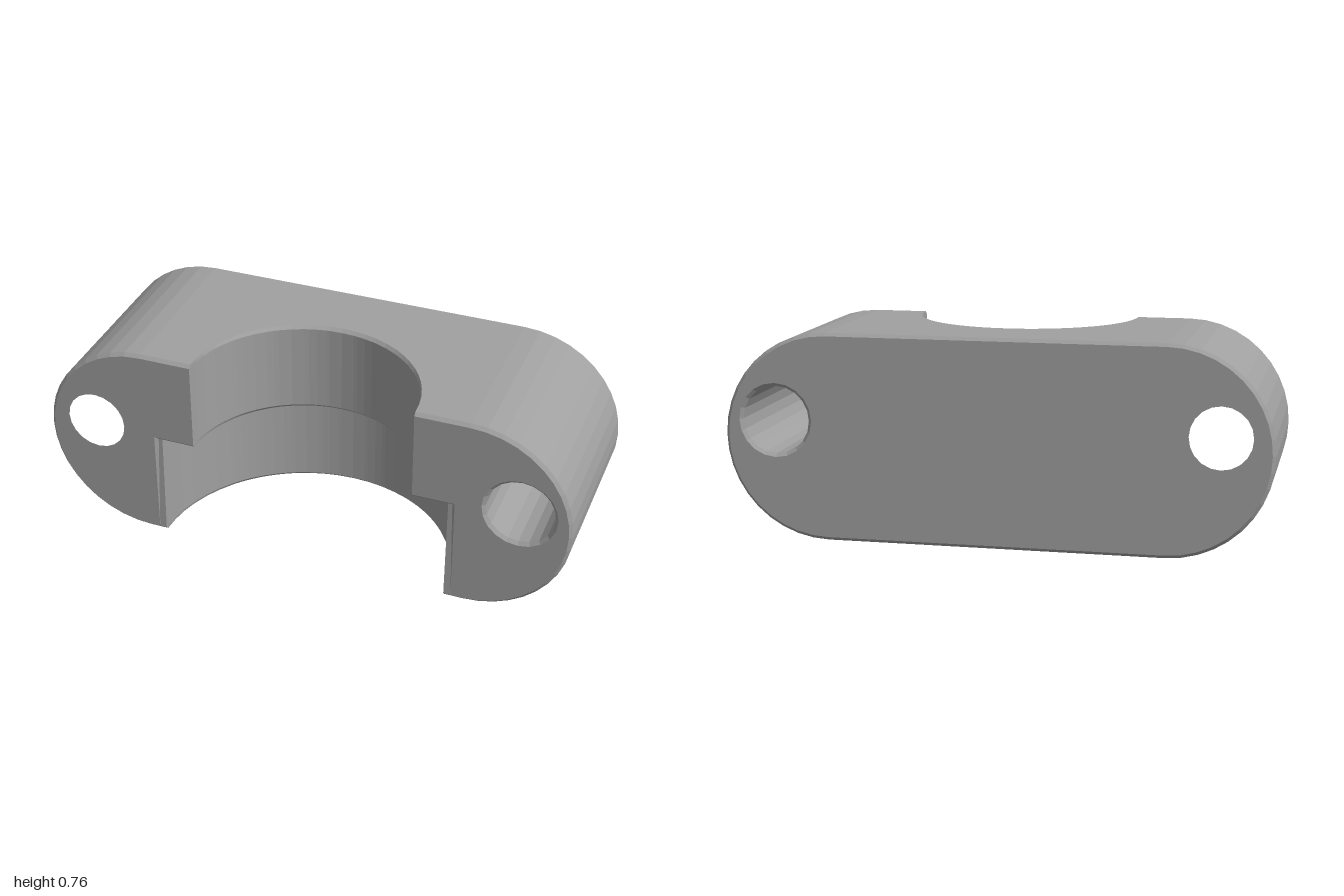
import * as THREE from 'three';

const H = 0.765;        // height
const D = 0.345;        // half depth
const STEP = 0.41;      // height of the ledge between the two bores
const R_UP = 0.42;      // upper bore radius
const R_LOW = 0.55;     // lower bore radius
const SEAM = 0.58;      // where the bored middle meets the rounded ends
const C = 0.012;        // edge chamfer

// Front surface depth at x for a vertical bore of radius r
const frontZ = (x, r) => D - Math.sqrt(Math.max(0, r * r - x * x));

// Middle block: cross-sections in z/y swept along x
function middleGeometry() {
  const xs = [-SEAM, SEAM];
  const n = 28;
  for (const r of [R_UP, R_LOW])
    for (let i = 0; i <= n; i++) xs.push(-r * Math.cos((Math.PI * i) / n));
  xs.sort((a, b) => a - b);
  const stations = xs.filter((x, i) => i === 0 || x - xs[i - 1] > 1e-4);

  const positions = [];
  const index = [];
  const count = 11;
  stations.forEach((x, i) => {
    const up = frontZ(x, R_UP);
    const low = frontZ(x, R_LOW);
    const section = [
      [low - C, 0], [-D + C, 0], [-D, C], [-D, H - C], [-D + C, H],
      [up - C, H], [up, H - C], [up, STEP + C], [up - C, STEP],
      [Math.min(low, up - C), STEP], [low, C],
    ];
    for (const [z, y] of section) positions.push(x, y, z);
    if (i === 0) return;
    for (let j = 0; j < count; j++) {
      const k = (j + 1) % count;
      const a = (i - 1) * count + j;
      const b = (i - 1) * count + k;
      const c = i * count + k;
      const d = i * count + j;
      index.push(a, b, c, a, c, d);
    }
  });
  const indexed = new THREE.BufferGeometry();
  indexed.setAttribute('position', new THREE.Float32BufferAttribute(positions, 3));
  indexed.setIndex(index);
  const geometry = indexed.toNonIndexed();
  geometry.computeVertexNormals();
  return geometry;
}

// Rounded end with a bolt hole running front to back
function endGeometry(side) {
  const r = H / 2;
  const inner = side * (SEAM - 0.015);
  const centre = side * (1 - r);
  const shape = new THREE.Shape();
  shape.moveTo(inner, 0);
  shape.lineTo(centre, 0);
  shape.absarc(centre, r, r, -Math.PI / 2, Math.PI / 2, side < 0);
  shape.lineTo(inner, H);
  shape.closePath();
  const hole = new THREE.Path();
  hole.absarc(side * 0.81, 0.44, 0.125, 0, Math.PI * 2, true);
  shape.holes.push(hole);
  const geometry = new THREE.ExtrudeGeometry(shape, {
    depth: 2 * (D - C), curveSegments: 10,
    bevelEnabled: true, bevelThickness: C, bevelSize: C, bevelOffset: -C, bevelSegments: 1,
  });
  geometry.translate(0, 0, -D + C);
  return geometry;
}

export function createModel() {
  const grey = new THREE.MeshStandardMaterial({ color: 0xa0a0a0, flatShading: true });
  grey.name = 'grey';

  const group = new THREE.Group();
  group.name = 'clampBracket';
  const add = (name, geometry) => {
    const mesh = new THREE.Mesh(geometry, grey);
    mesh.name = name;
    group.add(mesh);
  };
  add('boredMiddle', middleGeometry());
  add('leftBoltEnd', endGeometry(1));
  add('rightBoltEnd', endGeometry(-1));
  return group;
}
